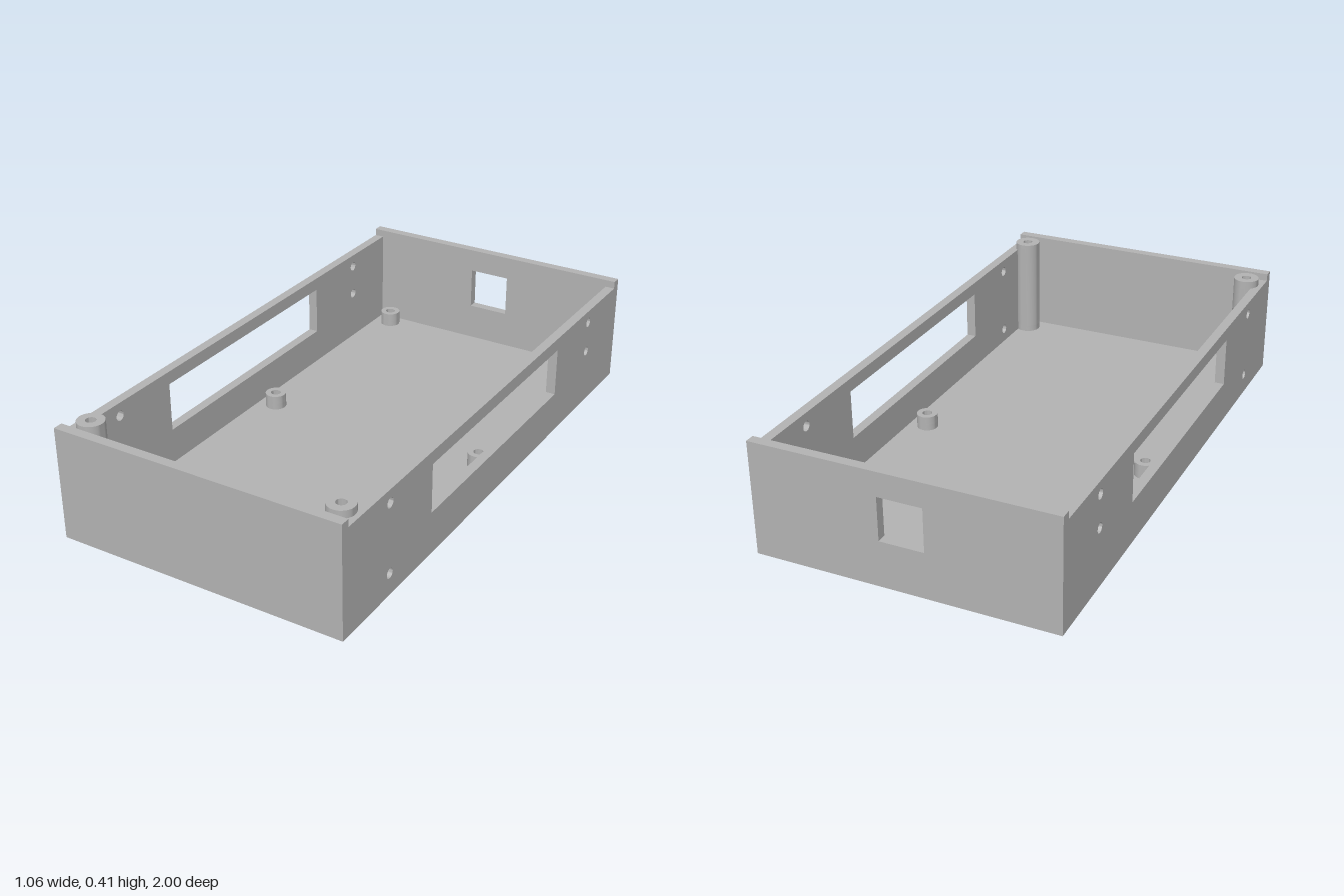
import * as THREE from 'three';
import { toCreasedNormals } from 'three/addons/utils/BufferGeometryUtils.js';

const W = 0.53, L = 1, H = 0.407, SIDE_H = 0.38; // half width, half length, heights
const T = 0.035, FLOOR = 0.027;                  // wall and floor thickness
const POCKET = 0.05, POCKET_R = 0.028, BORE_R = 0.018;

function rect(Type, x0, y0, x1, y1) {
  const p = new Type();
  p.moveTo(x0, y0);
  p.lineTo(x1, y0);
  p.lineTo(x1, y1);
  p.lineTo(x0, y1);
  p.closePath();
  return p;
}

function circle(Type, x, y, r) {
  const p = new Type();
  p.absarc(x, y, r, 0, Math.PI * 2, false);
  return p;
}

function hexHole(x, y, r) {
  const pts = [];
  for (let i = 0; i < 6; i++) {
    const a = (i * Math.PI) / 3;
    pts.push(new THREE.Vector2(x + r * Math.cos(a), y + r * Math.sin(a)));
  }
  return new THREE.Path(pts);
}

function extrude(shape, holes, depth) {
  shape.holes.push(...holes);
  const g = new THREE.ExtrudeGeometry(shape, { depth, bevelEnabled: false, curveSegments: 16 });
  return toCreasedNormals(g, 0.6);
}

export function createModel() {
  const model = new THREE.Group();
  model.name = 'enclosureBase';
  const grey = new THREE.MeshStandardMaterial({ color: 0xb3b3b3 });
  grey.name = 'grey plastic';

  const add = (name, geometry, x = 0, y = 0, z = 0, parent = model) => {
    const m = new THREE.Mesh(geometry, grey);
    m.name = name;
    m.position.set(x, y, z);
    parent.add(m);
    return m;
  };

  // Screw positions: two tall posts at the front, four short standoffs behind
  const screws = [];
  for (const s of [-1, 1]) {
    screws.push({ name: 'tallPost', x: s * 0.466, z: 0.9, r: 0.047, top: H });
    screws.push({ name: 'standoff', x: s * 0.426, z: -0.06, r: 0.038, top: 0.08 });
    screws.push({ name: 'standoff', x: s * 0.426, z: -0.912, r: 0.038, top: 0.08 });
  }

  // Floor with hexagonal nut pockets
  const floor = extrude(
    rect(THREE.Shape, -W + T, -L + T, W - T, L - T),
    screws.map((s) => hexHole(s.x, -s.z, POCKET_R)), FLOOR);
  add('floor', floor.rotateX(-Math.PI / 2));

  // Bored posts: hexagonal pocket below, round bore above
  for (const s of screws) {
    const post = new THREE.Group();
    post.name = s.name;
    post.position.set(s.x, 0, s.z);
    model.add(post);
    const lower = extrude(circle(THREE.Shape, 0, 0, s.r), [hexHole(0, 0, POCKET_R)], POCKET - FLOOR);
    const upper = extrude(circle(THREE.Shape, 0, 0, s.r), [circle(THREE.Path, 0, 0, BORE_R)], s.top - POCKET);
    add(s.name + 'Base', lower.rotateX(-Math.PI / 2), 0, FLOOR, 0, post);
    add(s.name + 'Top', upper.rotateX(-Math.PI / 2), 0, POCKET, 0, post);
  }

  // Side walls with a long window and four screw holes, drawn in z and y
  for (const s of [-1, 1]) {
    const holes = [[0.73, 0.333], [0.73, 0.08], [-0.727, 0.333], [-0.727, 0.215]]
      .map(([z, y]) => circle(THREE.Path, z, y, 0.018));
    holes.push(rect(THREE.Path, -0.455, 0.155, 0.47, 0.333));
    const wall = extrude(rect(THREE.Shape, -L + T, 0, L - T, SIDE_H), holes, T);
    add(s > 0 ? 'leftWall' : 'rightWall', wall.rotateY(-Math.PI / 2), s > 0 ? W : -W + T);
  }

  // Taller end walls, the back one with a square opening
  add('frontWall', new THREE.BoxGeometry(2 * W, H, T), 0, H / 2, L - T / 2);
  const back = extrude(rect(THREE.Shape, -W, 0, W, H),
    [rect(THREE.Path, -0.078, 0.165, 0.078, 0.32)], T);
  add('backWall', back, 0, 0, -L);

  return model;
}
